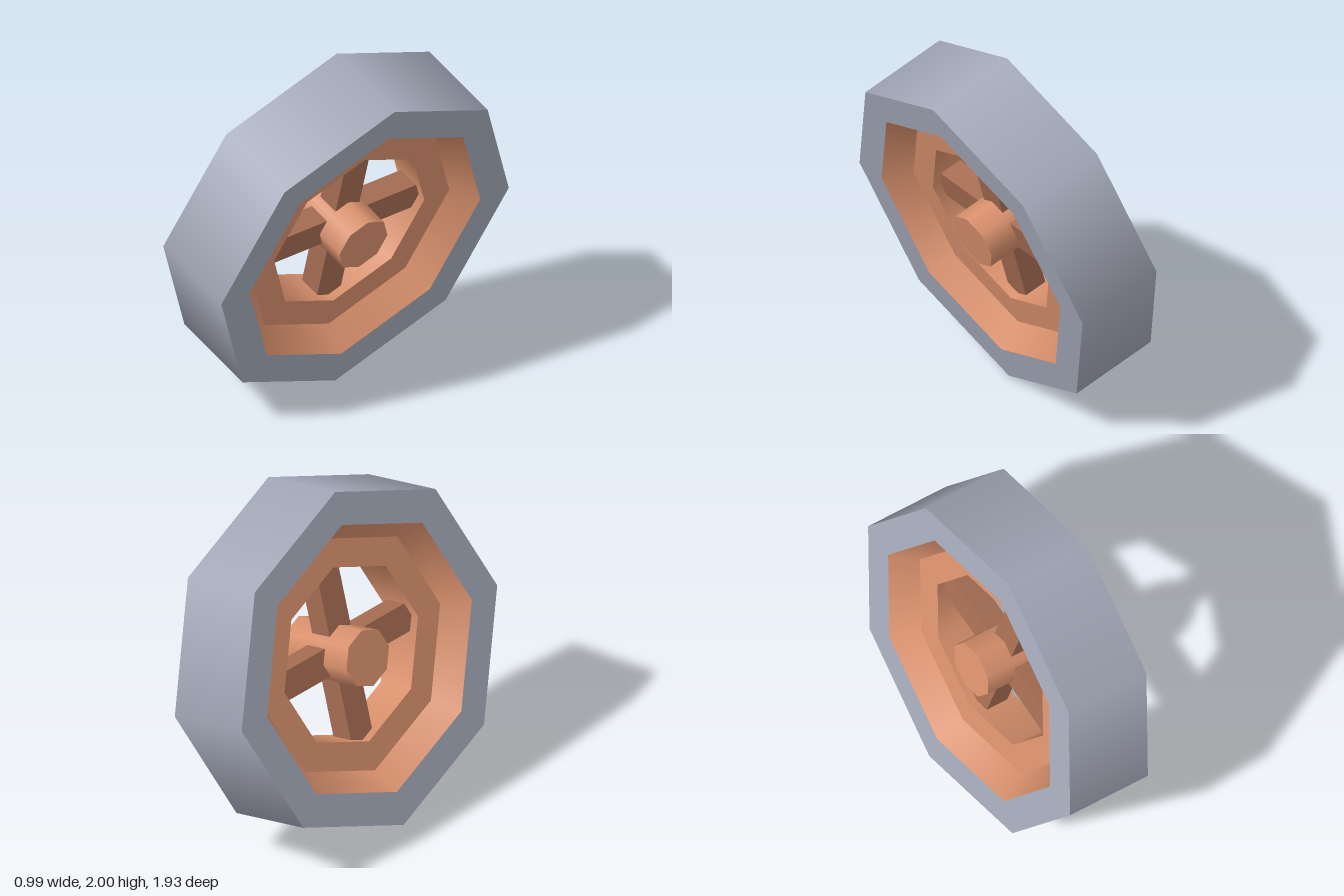
import * as THREE from 'three';

const SIDES = 8;
const tyreMat = new THREE.MeshStandardMaterial({ color: 0xa3a8b8 });
const rimMat = new THREE.MeshStandardMaterial({ color: 0xd8906c });
const spokeMat = new THREE.MeshStandardMaterial({ color: 0xa56c52 });

// Revolves each [radius, axial] pair of neighbours as its own band:
// smooth around the axle, sharp between bands.
function bands(name, profile, material) {
  const group = new THREE.Group();
  group.name = name;
  for (let i = 0; i < profile.length - 1; i++) {
    const pts = [profile[i], profile[i + 1]].map(([r, a]) => new THREE.Vector2(r, a));
    const mesh = new THREE.Mesh(new THREE.LatheGeometry(pts, SIDES), material);
    mesh.name = `${name}Band${i + 1}`;
    group.add(mesh);
  }
  return group;
}

export function createModel() {
  const model = new THREE.Group();
  model.name = 'wheel';

  // The axle is local y, tipped over to lie along x with a 15 degree lean
  const tilted = new THREE.Group();
  tilted.name = 'leaningWheel';
  tilted.position.y = 1;
  tilted.rotation.z = -THREE.MathUtils.degToRad(105);
  model.add(tilted);

  // Tyre: sidewall, tread, sidewall
  const w = 0.253;
  tilted.add(bands('tyre', [[0.775, -w], [0.967, -w], [0.967, w], [0.775, w]], tyreMat));

  // Rim: dished cone, flat ring, bore, and the same on the other side
  const d = 0.115;
  tilted.add(bands('rim', [
    [0.775, w], [0.673, d], [0.505, d], [0.505, -d], [0.673, -d], [0.775, -w],
  ], rimMat));

  // Hub
  const hub = new THREE.Mesh(new THREE.CylinderGeometry(0.161, 0.161, 0.48, SIDES), rimMat);
  hub.name = 'hub';
  tilted.add(hub);

  // Two crossed bars make the four spokes, their ends sunk in the rim
  for (let i = 0; i < 2; i++) {
    const bar = new THREE.Mesh(new THREE.BoxGeometry(1.03, 0.132, 0.16), spokeMat);
    bar.name = `spokeBar${i + 1}`;
    bar.rotation.y = i * Math.PI / 2;
    tilted.add(bar);
  }
  return model;
}
